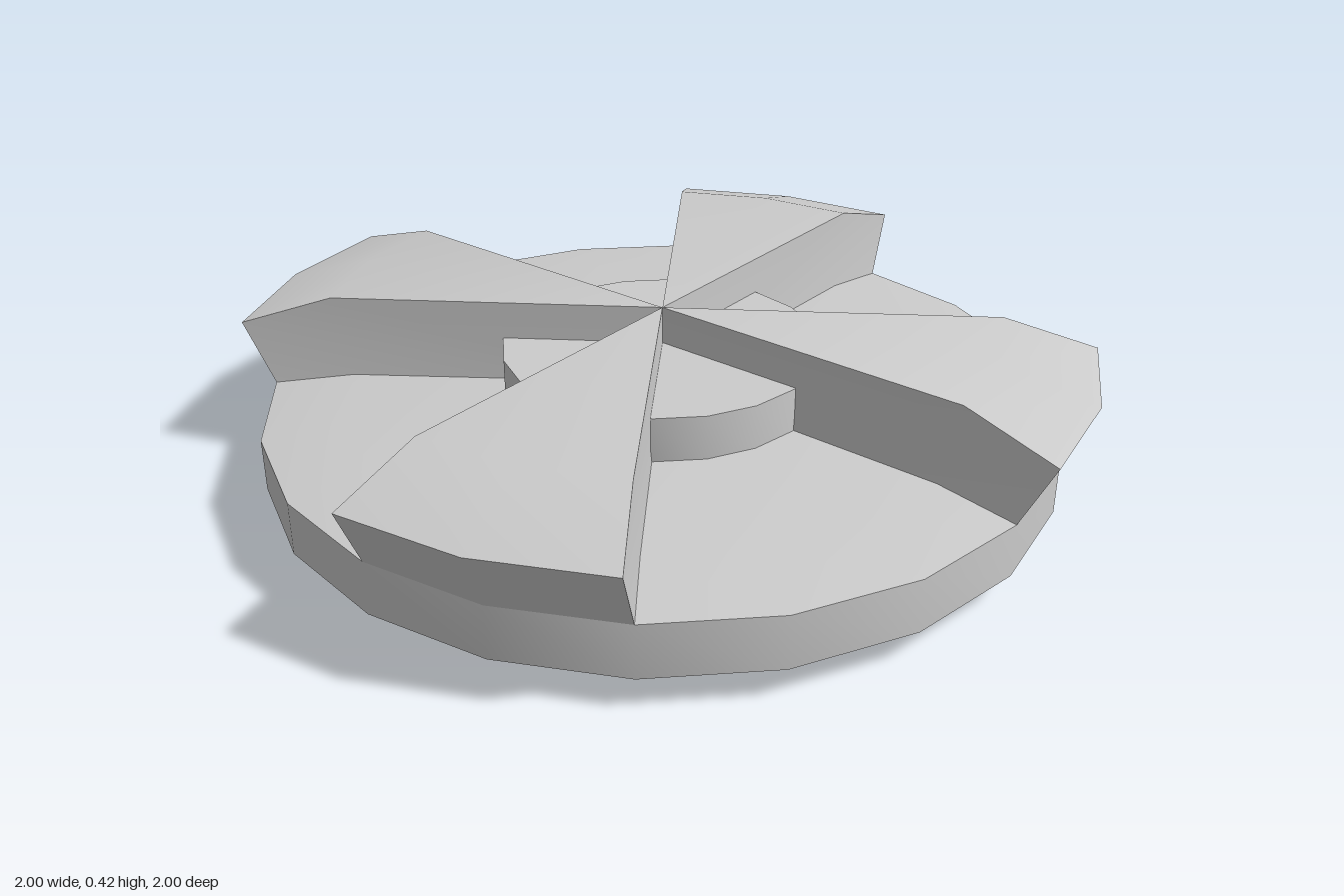
import * as THREE from 'three';
import { mergeGeometries, toCreasedNormals } from 'three/addons/utils/BufferGeometryUtils.js';

const SIDES = 20;
const HALF = Math.PI / 10; // half the angle a blade covers
const CREASE = Math.PI / 6;
const points = (list) => list.map(([r, y]) => new THREE.Vector2(r, y));

function lathe(list) {
  return toCreasedNormals(new THREE.LatheGeometry(points(list), SIDES), CREASE);
}

// Turn every vertex to the angle given by the rule, keeping its radius and height
function setAngle(geometry, rule) {
  const p = geometry.attributes.position;
  for (let i = 0; i < p.count; i++) {
    const x = p.getX(i), y = p.getY(i), z = p.getZ(i);
    const r = Math.hypot(x, z);
    const a = rule(Math.atan2(x, z)) * (y > 0.3 ? 0.955 : 1); // blades narrow towards the top
    p.setXYZ(i, r * Math.sin(a), y, r * Math.cos(a));
  }
  return geometry;
}

// Wedge-shaped blade: outer skin plus two upright side walls
function bladeGeometry() {
  const profile = [[0.93, 0.2], [1, 0.35], [0.78, 0.42], [0, 0.42]];
  const skin = setAngle(new THREE.LatheGeometry(points(profile), 2, -HALF, 2 * HALF), (a) => a);
  const walls = [-1, 1].map((side) => {
    const wall = new THREE.ShapeGeometry(new THREE.Shape(points([[0, 0.2], ...profile])));
    if (side > 0) wall.index.array.reverse();
    return setAngle(wall, () => side * HALF);
  });
  return toCreasedNormals(mergeGeometries([skin, ...walls]), CREASE);
}

export function createModel() {
  const group = new THREE.Group();
  const material = new THREE.MeshStandardMaterial({ color: 0xcccccc });
  const add = (name, geometry) => {
    const mesh = new THREE.Mesh(geometry, material);
    mesh.name = name;
    group.add(mesh);
    return mesh;
  };

  // Base disc with bevelled underside and gently sloping upper rim
  add('baseDisc', lathe([[0, 0], [0.76, 0], [0.93, 0.075], [0.93, 0.2], [0.74, 0.225], [0, 0.225]]));

  // Raised hub between the blades
  add('hub', lathe([[0.375, 0.22], [0.375, 0.33], [0, 0.33]]));

  // Four blades meeting at the centre
  const blade = bladeGeometry();
  for (let i = 0; i < 4; i++) add('blade' + (i + 1), blade).rotation.y = (i * Math.PI) / 2;

  return group;
}
